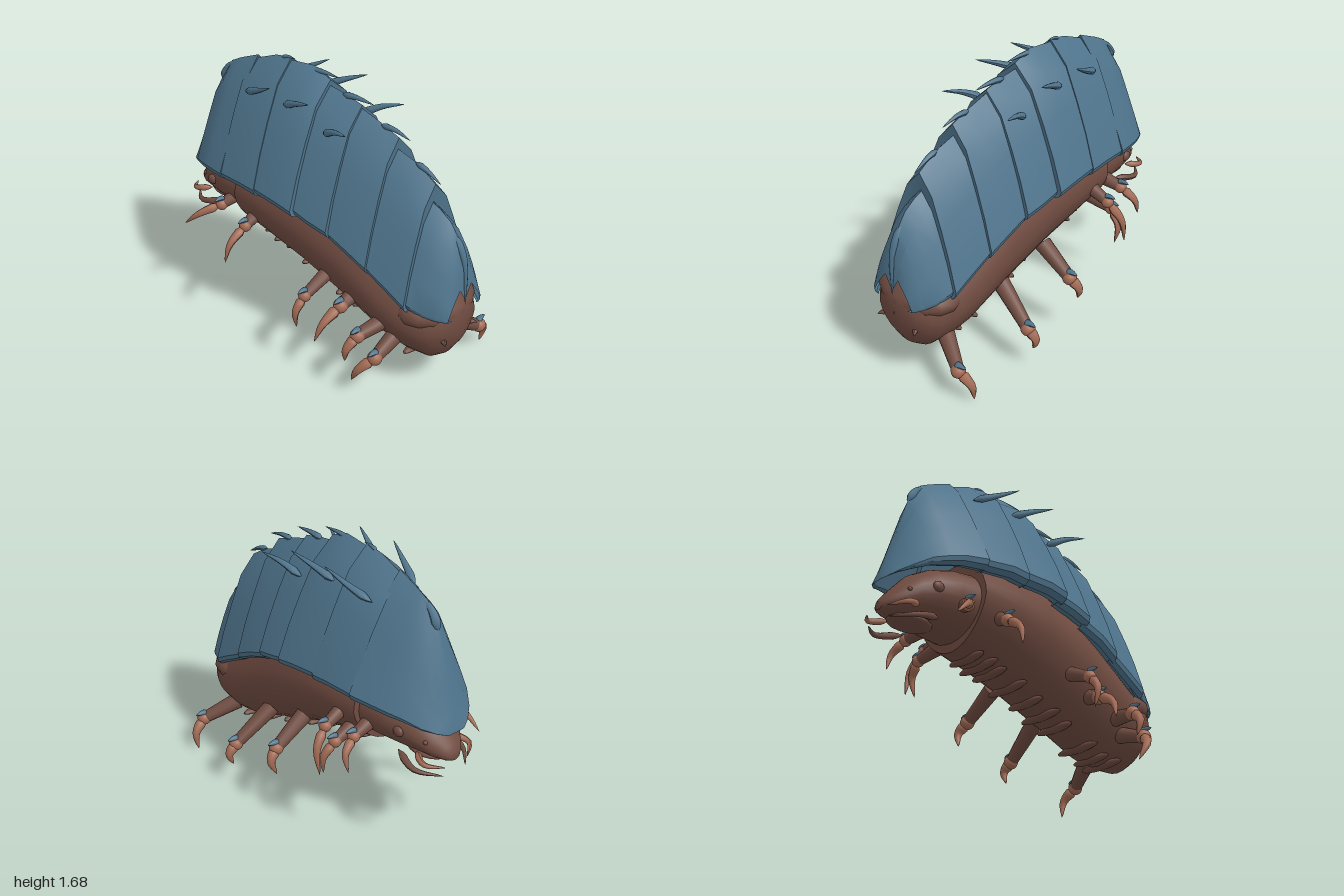
import * as THREE from 'three';
import { toCreasedNormals } from 'three/addons/utils/BufferGeometryUtils.js';

const mat = (name, color, side = THREE.FrontSide) => {
  const m = new THREE.MeshStandardMaterial({ color, side });
  m.name = name;
  return m;
};
const CX = -0.02; // the body axis sits a little off centre

// Skin a surface over rings of points that run from front to back
function loft(rings, crease) {
  const n = rings[0].length, index = [];
  for (let s = 0; s < rings.length - 1; s++)
    for (let j = 0; j < n - 1; j++) {
      const a = s * n + j, c = a + n;
      index.push(a, c, a + 1, a + 1, c, c + 1);
    }
  const g = new THREE.BufferGeometry();
  g.setAttribute('position', new THREE.Float32BufferAttribute(rings.flat(2), 3));
  g.setIndex(index);
  return toCreasedNormals(g, crease);
}

// Egg-shaped body sections, pinched below: [z, bottom, top, half width]
function ovalLoft(stations, pinch) {
  return loft(stations.map(([z, b, t, w]) => {
    const ring = [];
    for (let i = 0; i <= 28; i++) {
      const a = (i / 28) * Math.PI * 2, s = Math.sin(a);
      const x = w * Math.cos(a) * (1 + pinch * Math.min(0, s));
      ring.push([x, (b + t) / 2 + ((t - b) / 2) * s, z]);
    }
    return ring;
  }), 0.75);
}

// Pointed arch of a shell plate, from tucked hem to ridge
const mirrorArch = half => [...half, ...half.slice(0, -1).reverse().map(([u, v]) => [-u, v])];
const HEM = [[0.76, 0.015], [0.88, 0], [0.97, 0.03], [1, 0.075]];
const ARCH = mirrorArch([...HEM, [0.81, 0.34], [0.6, 0.58], [0.34, 0.84], [0, 1]]);
const TAIL_ARCH = mirrorArch([...HEM, [0.77, 0.34], [0.54, 0.58], [0.28, 0.84], [0, 1]]);
function plateGeometry(stations, lean, arch) {
  return loft(stations.map(([z, top, bottom, w, dip = 0]) =>
    arch.map(([u, v]) => {
      const k = u === 0 ? v - dip : v;
      return [u * w, bottom + k * (top - bottom), z + lean * (1 - v)];
    })), 0.6);
}

// Curved horn, thick near the base and sharp at the tip
function hornGeometry(points, r) {
  const curve = new THREE.CatmullRomCurve3(points.map(p => new THREE.Vector3(...p)));
  const seg = 10, sides = 8;
  const g = new THREE.TubeGeometry(curve, seg, r, sides);
  const pos = g.attributes.position, v = new THREE.Vector3();
  for (let i = 0; i <= seg; i++) {
    const t = i / seg, c = curve.getPointAt(t);
    const f = Math.min(1, t * 6) * Math.pow(1 - t, 0.7);
    for (let j = 0; j <= sides; j++) {
      const k = i * (sides + 1) + j;
      v.fromBufferAttribute(pos, k).sub(c).multiplyScalar(f).add(c);
      pos.setXYZ(k, v.x, v.y, v.z);
    }
  }
  g.computeVertexNormals();
  return g;
}

export function createModel() {
  const shell = mat('shell blue', 0x4f748c, THREE.DoubleSide);
  const skin = mat('skin brown', 0x704c41);
  const claw = mat('claw tan', 0xa36b55);
  const model = new THREE.Group();
  model.name = 'armouredLarva';
  const core = new THREE.Group();
  core.name = 'core';
  core.position.x = CX;
  model.add(core);

  const add = (parent, name, geometry, material, pos = [0, 0, 0], scale = [1, 1, 1]) => {
    const m = new THREE.Mesh(geometry, material);
    m.name = name;
    m.position.set(...pos);
    m.scale.set(...scale);
    parent.add(m);
    return m;
  };
  const ball = new THREE.SphereGeometry(1, 16, 10);

  // Soft body and head
  const bodyStations = [
    [0.978, 0.46, 0.5, 0.001], [0.972, 0.39, 0.56, 0.08], [0.95, 0.32, 0.6, 0.15],
    [0.9, 0.24, 0.66, 0.21], [0.84, 0.195, 0.7, 0.245], [0.72, 0.19, 0.75, 0.27],
    [0.6, 0.21, 0.83, 0.285], [0.3, 0.33, 1.03, 0.3], [0, 0.45, 1.12, 0.31],
    [-0.25, 0.53, 1.13, 0.31], [-0.48, 0.58, 1.1, 0.28], [-0.485, 0.84, 0.85, 0.001]];
  add(core, 'body', ovalLoft(bodyStations, 0.18), skin);
  add(core, 'head', ovalLoft([
    [-0.42, 0.63, 1.04, 0.25], [-0.6, 0.64, 1.02, 0.23], [-0.72, 0.65, 0.98, 0.205],
    [-0.82, 0.655, 0.92, 0.165], [-0.9, 0.655, 0.83, 0.12], [-0.96, 0.66, 0.76, 0.07],
    [-0.985, 0.67, 0.72, 0.035], [-0.99, 0.69, 0.7, 0.001]], 0.05), skin);
  add(core, 'lip', ball, skin, [0, 0.54, 0.775], [0.272, 0.12, 0.202]);
  add(core, 'chin', ball, skin, [0, 0.655, -0.78], [0.1, 0.03, 0.14]);

  // Belly pads follow the underside
  const bellyY = z => {
    const i = bodyStations.findIndex(s => s[0] <= z);
    const [a, b] = [bodyStations[i - 1], bodyStations[i]];
    return a[1] + (b[1] - a[1]) * (a[0] - z) / (a[0] - b[0]);
  };
  [0.7, 0.61, 0.5, 0.31, 0.2, 0.08, -0.06, -0.2, -0.28, -0.37].forEach((z, i) =>
    add(core, 'bellyPad', ball, skin, [0, bellyY(z) + 0.015, z], [i % 2 ? 0.14 : 0.16, 0.025, 0.034]));

  // Shell plates, front to back: [z, ridge, hem, half width, ridge dip]
  const plates = [
    [[0.982, 0.74, 0.54, 0.15, 0.6], [0.968, 0.85, 0.54, 0.17], [0.93, 0.97, 0.545, 0.2],
      [0.86, 1.07, 0.56, 0.235], [0.79, 1.12, 0.58, 0.255], [0.7, 1.16, 0.62, 0.265]],
    [[0.75, 1.26, 0.58, 0.285], [0.63, 1.34, 0.65, 0.29], [0.47, 1.39, 0.74, 0.295]],
    [[0.5, 1.45, 0.73, 0.31], [0.37, 1.5, 0.8, 0.32], [0.21, 1.55, 0.86, 0.315]],
    [[0.245, 1.56, 0.87, 0.34], [0.12, 1.59, 0.9, 0.35], [-0.01, 1.61, 0.93, 0.345]],
    [[0.02, 1.64, 0.93, 0.38], [-0.1, 1.69, 0.95, 0.38], [-0.29, 1.67, 0.96, 0.36]],
    [[-0.265, 1.69, 0.95, 0.37], [-0.38, 1.67, 0.96, 0.365], [-0.55, 1.6, 0.95, 0.34]],
    [[-0.52, 1.63, 0.95, 0.35], [-0.66, 1.57, 0.94, 0.315], [-0.735, 1.53, 0.925, 0.285],
      [-0.82, 1.4, 0.91, 0.24], [-0.9, 1.14, 0.88, 0.18], [-0.955, 0.95, 0.86, 0.115],
      [-0.982, 0.87, 0.845, 0.06], [-0.985, 0.85, 0.845, 0.001]]];
  plates.forEach((p, i) => {
    const [z, top, hem, w] = p[0];
    // a turned-in front edge closes the overlap onto the plate before it
    const st = i === 0 ? p : [[z - 0.008, hem + (top - hem) * 0.84, hem, w * 0.86], ...p];
    const lean = i === 0 || i === 6 ? 0 : 0.03;
    add(core, 'shellPlate', plateGeometry(st, lean, i === 6 ? TAIL_ARCH : ARCH), shell);
  });

  // Spines along the ridge
  const ridge = [
    [[0, 1.03, 0.87], [0, 0.88, 0.955], [0, 0.59, 0.985], 0.028],
    [[0, 1.345, 0.61], [0, 1.32, 0.69], [0, 1.268, 0.785], 0.02],
    [[0, 1.485, 0.37], [0, 1.485, 0.47], [0, 1.457, 0.575], 0.02],
    [[0, 1.58, 0.1], [0, 1.59, 0.2], [0, 1.585, 0.325], 0.022],
    [[0, 1.655, -0.18], [0, 1.67, -0.04], [0, 1.667, 0.085], 0.022],
    [[0, 1.67, -0.34], [0, 1.685, -0.29], [0, 1.685, -0.24], 0.014],
    [[0, 1.38, -0.82], [0, 1.48, -0.765], [0, 1.56, -0.64], 0.032]];
  ridge.forEach(([a, b, c, r]) => add(core, 'ridgeSpine', hornGeometry([a, b, c], r), shell));

  // Mirrored details
  for (const s of [1, -1]) {
    const horn = (name, pts, r, m) =>
      add(core, name, hornGeometry(pts.map(([x, y, z]) => [s * x, y, z]), r), m);
    // paired flank spines
    [[1.47, 1.61, -0.48, -0.2], [1.48, 1.6, -0.19, 0.08], [1.4, 1.5, 0.1, 0.34]].forEach(
      ([y0, y1, z0, z1]) => horn('flankSpine',
        [[0.155, y0, z0], [0.205, y0 + 0.065, (z0 + z1) / 2], [0.25, y1, z1]], 0.027, shell));
    horn('mandible', [[0.15, 0.66, -0.7], [0.18, 0.62, -0.86], [0.08, 0.6, -0.99]], 0.026, skin);
    horn('palp', [[0.13, 0.7, -0.82], [0.17, 0.68, -0.92], [0.08, 0.66, -1.0]], 0.024, claw);
    horn('frontNub', [[0.1, 0.4, 0.88], [0.125, 0.395, 0.94], [0.15, 0.385, 0.975]], 0.034, skin);
    add(core, 'eye', ball, skin, [s * 0.197, 0.815, -0.745], [0.02, 0.03, 0.035]);
    add(core, 'nostril', ball, skin, [s * 0.125, 0.78, -0.88], [0.012, 0.012, 0.014]);
  }

  // Legs, each posed on its own: hip, ankle, claw tip
  const legs = [
    [[0.14, 0.29, 0.75], [0.34, 0.19, 0.85], [0.42, 0.01, 0.81]],
    [[0.18, 0.45, 0.35], [0.43, 0.27, 0.39], [0.46, 0.14, 0.38]],
    [[0.2, 0.56, 0.02], [0.41, 0.42, 0.02], [0.44, 0.27, -0.02]],
    [[0.22, 0.8, -0.35], [0.36, 0.74, -0.36], [0.45, 0.48, -0.42]],
    [[0.18, 0.7, -0.4], [0.34, 0.66, -0.42], [0.4, 0.46, -0.39]],
    [[0.18, 0.77, -0.52], [0.31, 0.74, -0.54], [0.4, 0.57, -0.6]],
    [[-0.18, 0.35, 0.66], [-0.39, 0.28, 0.66], [-0.45, 0.1, 0.54]],
    [[-0.18, 0.42, 0.6], [-0.41, 0.39, 0.55], [-0.47, 0.23, 0.51]],
    [[-0.2, 0.5, 0.37], [-0.33, 0.46, 0.36], [-0.5, 0.28, 0.31]],
    [[-0.25, 0.58, 0.2], [-0.43, 0.5, 0.18], [-0.48, 0.3, 0.16]],
    [[-0.24, 0.75, -0.35], [-0.34, 0.7, -0.36], [-0.49, 0.5, -0.39]],
    [[-0.18, 0.78, -0.55], [-0.29, 0.73, -0.6], [-0.42, 0.58, -0.79]]];
  legs.forEach(([hip, ankle, tip], i) => {
    const leg = new THREE.Group();
    leg.name = (hip[0] > 0 ? 'left' : 'right') + 'Leg';
    model.add(leg);
    const s = Math.sign(hip[0]), small = i % 6 > 2 ? 0.85 : 1;
    const h = new THREE.Vector3(...hip), a = new THREE.Vector3(...ankle);
    const thigh = add(leg, 'thigh',
      new THREE.CylinderGeometry(0.036 * small, 0.052 * small, h.distanceTo(a), 12), skin,
      h.clone().add(a).multiplyScalar(0.5).toArray());
    thigh.quaternion.setFromUnitVectors(new THREE.Vector3(0, 1, 0), a.clone().sub(h).normalize());
    const r = 0.043 * small;
    add(leg, 'ankle', ball, claw, ankle, [r, r, r]);
    const mid = [(ankle[0] + tip[0]) / 2 + s * 0.04,
      ankle[1] * 0.6 + tip[1] * 0.4, (ankle[2] + tip[2]) / 2];
    add(leg, 'claw', hornGeometry([ankle, mid, tip], 0.039 * small), claw);
    // small armour scale above the ankle
    const [x, y, z] = ankle;
    add(leg, 'ankleScale', hornGeometry(
      [[x - s * 0.02, y + 0.03, z], [x + s * 0.02, y + 0.042, z], [x + s * 0.06, y + 0.04, z]],
      0.026 * small), shell);
  });
  return model;
}
